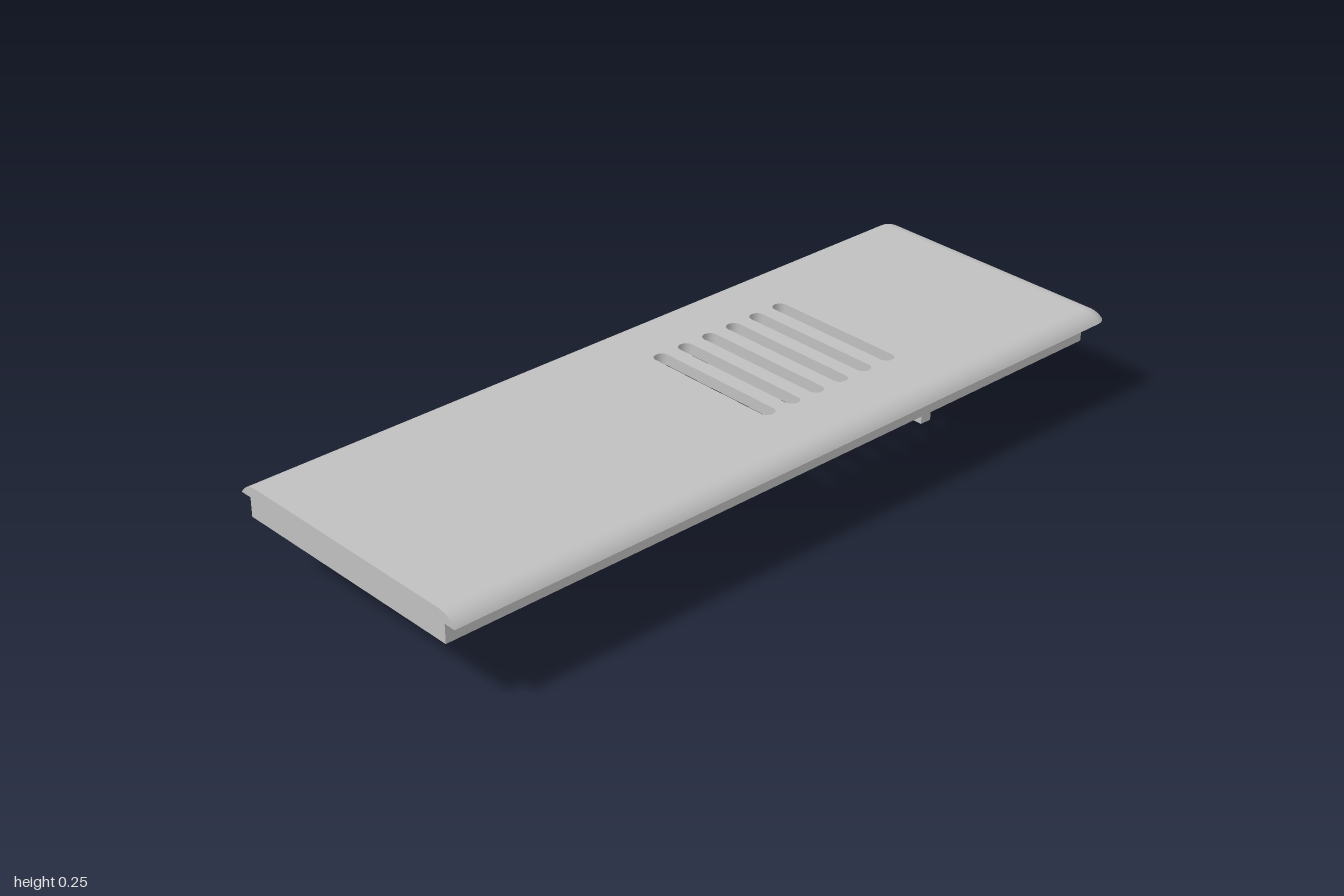
import * as THREE from 'three';
import { toCreasedNormals } from 'three/addons/utils/BufferGeometryUtils.js';

const TOP = 0.247, LIP = 0.218, RIM = 0.17;

// Plan outline (x, -z), counter-clockwise, square at x = -1, rounded at the +x end
function outline(xEnd, half, r) {
  const pts = [new THREE.Vector2(-1, -half)];
  for (const side of [-1, 1]) {
    for (let i = 0; i <= 8; i++) {
      const a = (side < 0 ? -Math.PI / 2 : 0) + (i / 8) * Math.PI / 2;
      pts.push(new THREE.Vector2(xEnd - r + r * Math.cos(a), side * (half - r) + r * Math.sin(a)));
    }
  }
  pts.push(new THREE.Vector2(-1, half));
  return pts;
}

// Rounded slot outline, clockwise
function slotOutline(x) {
  const r = 0.019, straight = 0.176, pts = [];
  for (const side of [1, -1]) {
    for (let i = 0; i <= 10; i++) {
      const a = (side > 0 ? Math.PI : 0) - (i / 10) * Math.PI;
      pts.push(new THREE.Vector2(x + r * Math.cos(a), side * straight + r * Math.sin(a)));
    }
  }
  pts.push(pts[0].clone());
  return pts;
}

// Skin between matching plan outlines at rising heights
function loft(rings) {
  const pos = [], idx = [], n = rings[0].pts.length;
  for (const { pts, y } of rings) for (const p of pts) pos.push(p.x, y, -p.y);
  for (let i = 0; i < rings.length - 1; i++) {
    for (let j = 0; j < n - 1; j++) {
      const a = i * n + j, b = a + 1, c = b + n, d = a + n;
      idx.push(a, b, c, a, c, d);
    }
  }
  const g = new THREE.BufferGeometry();
  g.setAttribute('position', new THREE.Float32BufferAttribute(pos, 3));
  g.setIndex(idx);
  g.computeVertexNormals();
  return g;
}

export function createModel() {
  const model = new THREE.Group();
  model.name = 'slidingCover';
  const grey = new THREE.MeshStandardMaterial({ color: 0xc0c0c0 });
  grey.name = 'grey plastic';
  const add = (name, geometry, parent = model) => {
    const mesh = new THREE.Mesh(geometry, grey);
    mesh.name = name;
    parent.add(mesh);
    return mesh;
  };

  const lid = new THREE.Group();
  lid.name = 'lid';
  model.add(lid);

  // Rounded lid edge: a 60 degree arc that meets the top tangentially
  const R = 0.0576, rings = [], profile = [];
  for (let i = 0; i <= 10; i++) {
    const a = (1 - i / 10) * Math.PI / 3;
    const inset = 0.05 - R * Math.sin(a);
    const y = TOP - R * (1 - Math.cos(a));
    rings.push({ pts: outline(1 - inset, 0.367 - inset, Math.max(0.04 - inset * 0.7, 0.004)), y });
    profile.push(new THREE.Vector2(0.367 - inset, y));
  }
  add('lidEdge', loft(rings), lid);

  // Flat end of the lid
  const mirrored = profile.map(p => new THREE.Vector2(-p.x, p.y)).reverse();
  const end = new THREE.ShapeGeometry(new THREE.Shape([...profile, ...mirrored]));
  end.rotateY(-Math.PI / 2).translate(-1, 0, 0);
  add('lidEnd', end, lid);

  // Top and underside, pierced by six slots
  const slots = Array.from({ length: 6 }, (_, i) => slotOutline(0.04 + i * 0.0768));
  const pierced = pts => {
    const shape = new THREE.Shape(pts);
    shape.holes = slots.map(s => new THREE.Path(s.slice(0, -1)));
    return new THREE.ShapeGeometry(shape);
  };
  add('lidTop', pierced(rings[10].pts).rotateX(-Math.PI / 2).translate(0, TOP, 0), lid);
  const under = pierced(rings[0].pts.map(p => new THREE.Vector2(p.x, p.y)));
  // Mirrored about its long axis (symmetric plan), so it faces down
  add('lidUnderside', under.rotateX(Math.PI / 2).translate(0, LIP, 0), lid);
  slots.forEach(s => add('slotWall', loft([{ pts: s, y: LIP }, { pts: s, y: TOP }]), lid));

  // Rim below the lid
  const t = 0.02;
  const rimShape = new THREE.Shape(outline(0.95, 0.335, 0.02));
  const xi = 0.95 - t, zi = 0.335 - t;
  rimShape.holes.push(new THREE.Path([
    new THREE.Vector2(-1 + t, -zi), new THREE.Vector2(-1 + t, zi),
    new THREE.Vector2(xi, zi), new THREE.Vector2(xi, -zi),
  ]));
  const rim = new THREE.ExtrudeGeometry(rimShape, { depth: LIP - RIM, bevelEnabled: false });
  rim.rotateX(-Math.PI / 2).translate(0, RIM, 0);
  add('rim', toCreasedNormals(rim, 0.5));

  // Tab hanging under the lid
  add('tab', new THREE.BoxGeometry(0.032, LIP, 0.306)).position.set(0.597, LIP / 2, 0);

  return model;
}
